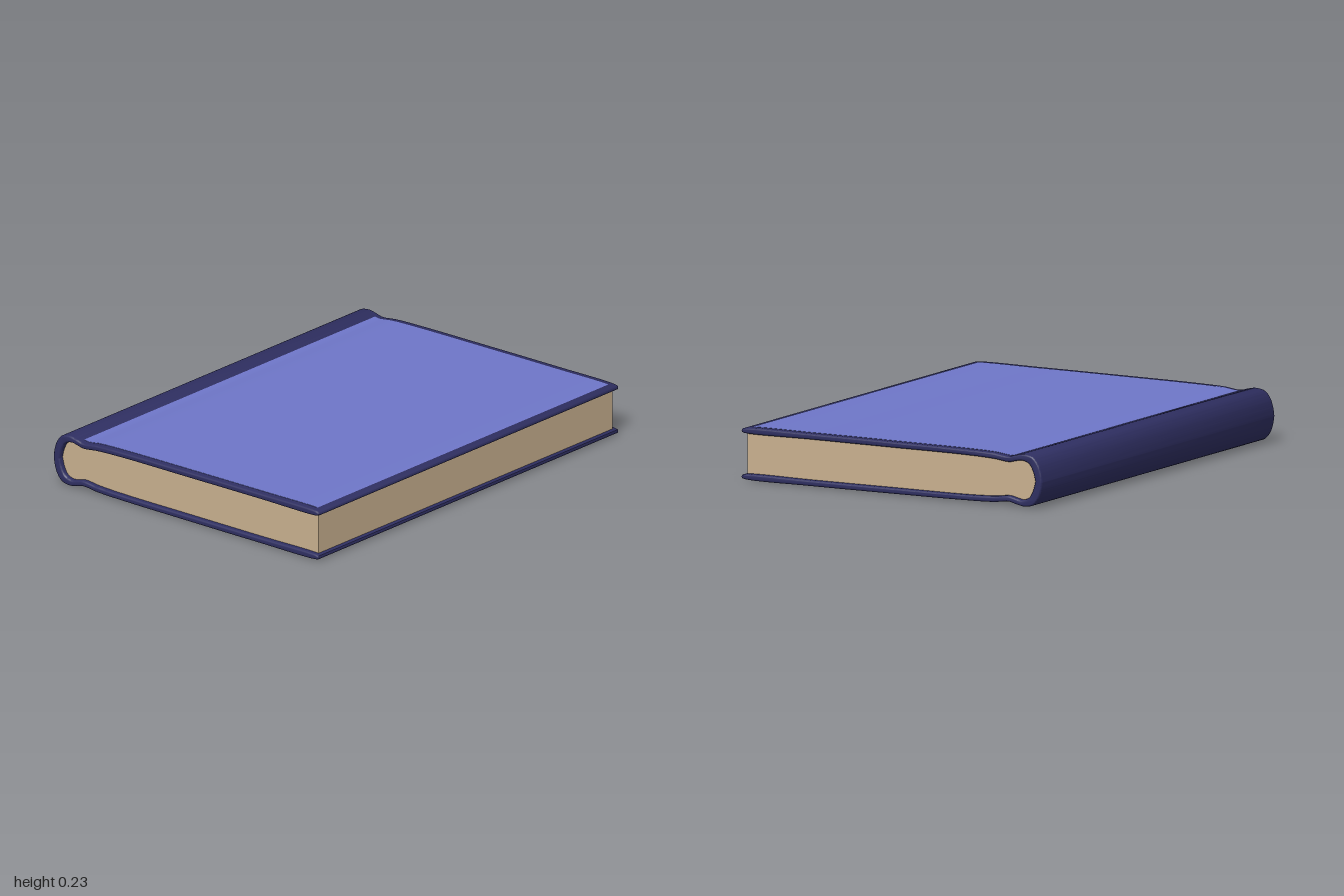
import * as THREE from 'three';
import { toCreasedNormals } from 'three/addons/utils/BufferGeometryUtils.js';

const MID = 0.114; // height of the book's mid-plane

// smooth line through [x, half height] points
function smooth(pts, perSpan = 8) {
  const curve = new THREE.CatmullRomCurve3(pts.map(([x, y]) => new THREE.Vector3(x, y, 0)));
  return curve.getPoints((pts.length - 1) * perSpan).map((p) => new THREE.Vector2(p.x, p.y));
}

const flip = (pts) => pts.map((p) => new THREE.Vector2(p.x, -p.y));

// upper half followed by its mirror image below
const mirrored = (half) => [...half, ...flip(half.slice(0, -1)).reverse()];

// extrude an outline along z, centred, with an optional rounded rim
function extrude(name, outline, length, color, bevel = 0) {
  const geometry = new THREE.ExtrudeGeometry(new THREE.Shape(outline), {
    depth: length - 2 * bevel,
    bevelEnabled: bevel > 0,
    bevelThickness: bevel,
    bevelSize: bevel,
    bevelOffset: -bevel,
    bevelSegments: 3,
  });
  geometry.translate(0, MID, bevel - length / 2);
  const material = new THREE.MeshStandardMaterial({ color });
  const mesh = new THREE.Mesh(toCreasedNormals(geometry, 0.7), material);
  mesh.name = name;
  return mesh;
}

export function createModel() {
  const book = new THREE.Group();
  book.name = 'book';

  // half profiles from the fore edge, over the hinge groove, to the spine
  const outer = smooth([
    [0.746, 0.101], [0.743, 0.107], [0.728, 0.112], [0.4, 0.114], [0, 0.113], [-0.35, 0.111],
    [-0.5, 0.107], [-0.58, 0.099], [-0.615, 0.107], [-0.655, 0.114], [-0.7, 0.105],
    [-0.727, 0.075], [-0.741, 0.037], [-0.747, 0],
  ]);
  const inner = smooth([
    [0.743, 0.093], [0.728, 0.089], [0.4, 0.089], [0, 0.088], [-0.35, 0.087],
    [-0.5, 0.082], [-0.58, 0.074], [-0.61, 0.08], [-0.645, 0.086], [-0.68, 0.074],
    [-0.7, 0.042], [-0.712, 0],
  ]);

  // hard cover wrapping both boards and the spine
  const cover = [...mirrored(outer), ...mirrored(inner).reverse()];
  book.add(extrude('cover', cover, 2, 0x2e2e60, 0.008));

  // page block filling the cover, set back at the three open edges
  const block = inner.filter((p) => p.x < 0.727);
  block.unshift(new THREE.Vector2(0.727, 0.089));
  const pageOutline = mirrored(block.map((p) => new THREE.Vector2(p.x, p.y + (p.y > 0.03 ? 0.002 : 0))));
  book.add(extrude('pages', pageOutline, 1.955, 0xc8b08e));

  // light panels lying on the front and back boards
  const surface = outer.filter((p) => p.x < 0.712 && p.x > -0.6);
  surface.unshift(new THREE.Vector2(0.712, 0.1121));
  const raised = (d) => surface.map((p) => new THREE.Vector2(p.x, p.y + d));
  const panel = [...raised(0.0012), ...raised(-0.004).reverse()];
  book.add(extrude('frontPanel', panel, 1.935, 0x6e76c8));
  book.add(extrude('backPanel', flip(panel).reverse(), 1.935, 0x6e76c8));

  return book;
}
